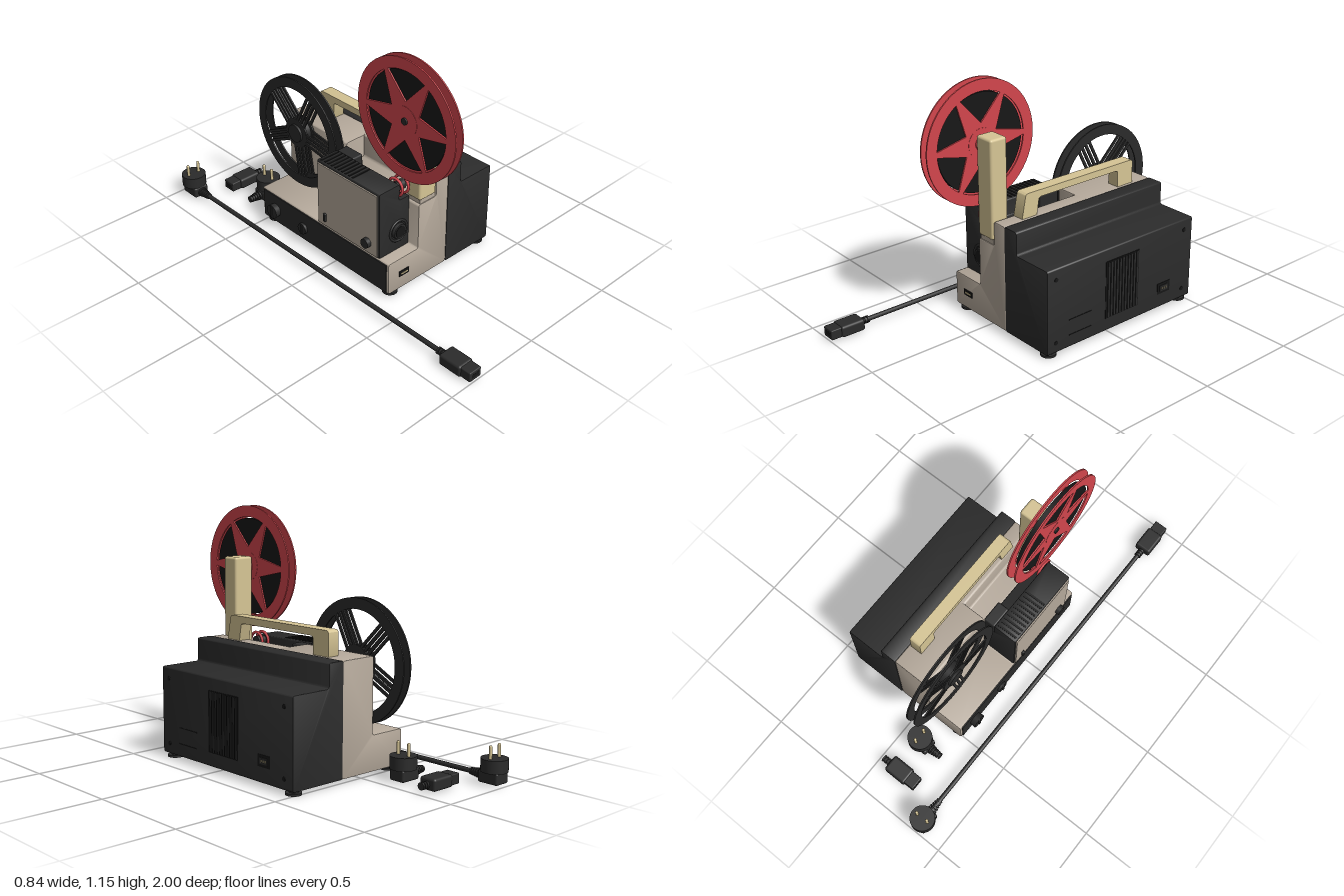
import * as THREE from 'three';
import { RoundedBoxGeometry } from 'three/addons/geometries/RoundedBoxGeometry.js';
import { toCreasedNormals } from 'three/addons/utils/BufferGeometryUtils.js';

export function createModel() {
  const root = new THREE.Group();
  const mat = (name, color) => Object.assign(new THREE.MeshStandardMaterial({ color }), { name });
  const black = mat('black plastic', 0x2b2b2b);
  const dark = mat('dark recess', 0x171717);
  const cream = mat('cream casing', 0xb5a99b);
  const beige = mat('beige trim', 0xd6c595);
  const red = mat('red reel', 0xd2464d);

  function add(name, geo, material, x = 0, y = 0, z = 0, parent = root) {
    const m = new THREE.Mesh(geo, material);
    m.name = name;
    m.position.set(x, y, z);
    parent.add(m);
    return m;
  }
  // Box given by its limits on each axis
  function box(name, material, [x0, x1], [y0, y1], [z0, z1], r = 0, parent = root) {
    const s = [x1 - x0, y1 - y0, z1 - z0];
    const geo = r ? new RoundedBoxGeometry(...s, 3, r) : new THREE.BoxGeometry(...s);
    return add(name, geo, material, (x0 + x1) / 2, (y0 + y1) / 2, (z0 + z1) / 2, parent);
  }
  // Cylinder along a chosen axis
  function cyl(name, material, axis, r0, r1, len, x, y, z, parent = root, sides = 32) {
    const geo = new THREE.CylinderGeometry(r1, r0, len, sides);
    if (axis === 'x') geo.rotateZ(-Math.PI / 2);
    if (axis === 'z') geo.rotateX(Math.PI / 2);
    return add(name, geo, material, x, y, z, parent);
  }
  // Polygon with rounded corners
  function rounded(pts, r) {
    const s = new THREE.Shape();
    const v = pts.map(p => new THREE.Vector2(...p));
    v.forEach((p, i) => {
      const toward = q => p.clone().add(q.clone().sub(p).setLength(r));
      const a = toward(v[(i + v.length - 1) % v.length]);
      const b = toward(v[(i + 1) % v.length]);
      if (i) s.lineTo(a.x, a.y); else s.moveTo(a.x, a.y);
      s.quadraticCurveTo(p.x, p.y, b.x, b.y);
    });
    s.closePath();
    return s;
  }
  // Front profile swept from z0 to z1
  function sweep(name, material, pts, z0, z1, r = 0.012, b = 0.005) {
    const geo = new THREE.ExtrudeGeometry(rounded(pts, r),
      { depth: z1 - z0 - 2 * b, bevelSize: b, bevelOffset: -b, bevelThickness: b, bevelSegments: 2, curveSegments: 5 });
    return add(name, toCreasedNormals(geo, 0.6), material, 0, 0, z0 + b);
  }
  // Profile in (z, y), with thickness along x and centred on it
  function plate(shape, depth) {
    const geo = new THREE.ExtrudeGeometry(shape, { depth, bevelEnabled: false, curveSegments: 48 });
    geo.translate(0, 0, -depth / 2).rotateY(-Math.PI / 2);
    return toCreasedNormals(geo, 0.6);
  }

  // Casing
  sweep('frontCasing', cream, [[-0.245, 0.02], [0.127, 0.02], [0.127, 0.535], [0.05, 0.535],
    [0.05, 0.42], [-0.06, 0.42], [-0.06, 0.185], [-0.245, 0.185]], -0.11, 0.372);
  sweep('rearCasing', cream, [[-0.245, 0.02], [0.127, 0.02], [0.127, 0.535],
    [-0.06, 0.535], [-0.06, 0.185], [-0.245, 0.185]], -0.512, -0.1);
  sweep('sideCasing', black, [[0.125, 0.02], [0.415, 0.02], [0.415, 0.427],
    [0.21, 0.427], [0.21, 0.537], [0.125, 0.537]], -0.514, 0.374);
  box('controlPanel', black, [-0.25, -0.243], [0.03, 0.178], [-0.5, 0.36]);

  // Feet
  for (const x of [-0.2, 0.375]) for (const z of [-0.475, 0.335]) {
    cyl('foot', black, 'y', 0.036, 0.036, 0.01, x, 0.005, z);
    cyl('footStem', black, 'y', 0.02, 0.02, 0.016, x, 0.016, z);
  }

  // Lamp housing
  sweep('lampHousing', black, [[-0.243, 0.183], [-0.058, 0.183], [-0.058, 0.445],
    [-0.12, 0.445], [-0.12, 0.527], [-0.243, 0.527]], -0.1, 0.31, 0.008);
  box('lampCover', cream, [-0.25, -0.242], [0.192, 0.515], [-0.092, 0.298]);
  box('filmGuide', black, [-0.121, -0.06], [0.44, 0.525], [-0.1, 0.01], 0.008);
  for (let i = 0; i < 10; i++) {
    const z = -0.085 + i * 0.023;
    box('lampVent', dark, [-0.235, -0.13], [0.525, 0.53], [z, z + 0.01]);
  }
  add('lensRing', new THREE.TorusGeometry(0.052, 0.006, 10, 40), black, -0.125, 0.285, 0.311);
  cyl('lensBarrel', black, 'z', 0.04, 0.037, 0.016, -0.125, 0.285, 0.316);
  cyl('lensGlass', dark, 'z', 0.029, 0.029, 0.004, -0.125, 0.285, 0.324);

  // Front socket
  box('frontSocket', dark, [-0.18, -0.12], [0.088, 0.116], [0.37, 0.376]);
  box('frontSocketBar', beige, [-0.17, -0.13], [0.099, 0.105], [0.374, 0.379]);

  // Controls on the panel side
  cyl('mainKnob', black, 'x', 0.036, 0.033, 0.034, -0.262, 0.1, -0.41);
  box('mainKnobGrip', black, [-0.283, -0.26], [0.068, 0.132], [-0.417, -0.403]);
  cyl('speedKnob', black, 'x', 0.028, 0.028, 0.016, -0.255, 0.095, -0.205);
  box('speedLever', black, [-0.268, -0.25], [0.07, 0.12], [-0.211, -0.199]);
  cyl('focusKnob', black, 'x', 0.024, 0.024, 0.024, -0.259, 0.247, 0.24);
  box('lampLatch', black, [-0.262, -0.248], [0.22, 0.262], [-0.05, -0.034], 0.004);

  // Ribbed vent, socket and screws on the plain side
  box('sideVentFrame', dark, [0.41, 0.417], [0.085, 0.367], [-0.167, 0.035]);
  for (let i = 0; i < 11; i++) {
    const z = -0.16 + i * 0.0175;
    box('sideVentRib', black, [0.412, 0.421], [0.09, 0.362], [z, z + 0.01]);
  }
  box('powerSocket', dark, [0.411, 0.417], [0.092, 0.146], [-0.375, -0.295]);
  box('powerSocketCore', black, [0.414, 0.42], [0.105, 0.133], [-0.36, -0.31]);
  for (const z of [-0.348, -0.335, -0.322]) box('socketPin', beige, [0.417, 0.422], [0.114, 0.124], [z - 0.002, z + 0.002]);
  for (const y of [0.07, 0.375]) for (const z of [-0.46, 0.325]) cyl('screw', dark, 'x', 0.01, 0.01, 0.006, 0.414, y, z);
  for (const y of [0.08, 0.155]) box('sideGroove', dark, [0.412, 0.4165], [y, y + 0.004], [0.12, 0.25]);

  // Carrying handle
  const grip = rounded([[-0.41, 0.525], [-0.41, 0.65], [0.24, 0.65], [0.265, 0.525],
    [0.18, 0.525], [0.165, 0.617], [-0.315, 0.617], [-0.315, 0.525]], 0.014);
  add('handle', plate(grip, 0.06), beige, 0.085, 0, 0);

  // Upright reel arm
  box('reelArm', beige, [-0.058, 0.045], [0.44, 0.91], [0.285, 0.375], 0.012);
  box('reelArmBase', cream, [-0.05, 0.045], [0.415, 0.445], [0.29, 0.368]);

  // Reels: two flanges, each a rim, hub and spokes
  const ring = (r, hole) => {
    const s = new THREE.Shape().absarc(0, 0, r, 0, Math.PI * 2, false);
    if (hole) s.holes.push(new THREE.Path().absarc(0, 0, hole, 0, Math.PI * 2, true));
    return s;
  };
  function reel(name, material, y, z, r, inner, hub, count, start, bars) {
    const g = new THREE.Group();
    g.name = name;
    g.position.set(-0.096, y, z);
    root.add(g);
    for (const side of [-1, 1]) {
      const x = side * 0.021;
      add('rim', plate(ring(r, inner), 0.007), material, x, 0, 0, g);
      add('rimLip', new THREE.TorusGeometry(r - 0.004, 0.004, 6, 64).rotateY(Math.PI / 2), material, x, 0, 0, g);
      add('hub', plate(ring(hub, 0.012), 0.009), material, x, 0, 0, g);
      for (let i = 0; i < count; i++) for (const [w0, w1, off] of bars) {
        const s = new THREE.Shape([[0.03, off - w0], [inner + 0.01, off - w1], [inner + 0.01, off + w1], [0.03, off + w0]]
          .map(p => new THREE.Vector2(...p)));
        const spoke = add('spoke', plate(s, 0.007), material, x, 0, 0, g);
        spoke.rotation.x = -(start + i * Math.PI * 2 / count);
      }
    }
    cyl('core', material, 'x', hub * 0.8, hub * 0.8, 0.04, 0, 0, 0, g);
    cyl('spindle', black, 'x', 0.016, 0.016, 0.075, 0.004, 0, 0, g);
    return g;
  }
  const feed = reel('feedReel', red, 0.858, 0.335, 0.29, 0.236, 0.07, 6, 0, [[0.058, 0.01, 0]]);
  cyl('film', dark, 'x', 0.23, 0.23, 0.032, 0, 0, 0, feed, 64);
  cyl('spindleCollar', red, 'x', 0.035, 0.028, 0.016, 0.03, 0, 0, feed);
  reel('takeUpReel', black, 0.492, -0.39, 0.282, 0.232, 0.075, 5, 63 * Math.PI / 180,
    [[0.007, 0.007, -0.024], [0.007, 0.007, 0], [0.007, 0.007, 0.024]]);
  cyl('takeUpHub', black, 'x', 0.045, 0.045, 0.03, -0.118, 0.492, -0.39);

  // Film loops at the gate
  for (const x of [-0.115, -0.078]) {
    add('filmLoop', new THREE.TorusGeometry(0.042, 0.007, 8, 32).rotateY(Math.PI / 2), red, x, 0.5, 0.28);
  }
  cyl('gateRoller', black, 'x', 0.024, 0.024, 0.045, -0.096, 0.5, 0.28);

  // Mains plug: round head with pins up, cord leaving along local +z
  function mainsPlug(x, z, turn) {
    const g = new THREE.Group();
    g.name = 'mainsPlug';
    g.position.set(x, 0, z);
    g.rotation.y = turn;
    root.add(g);
    cyl('plugHead', black, 'y', 0.06, 0.06, 0.058, 0, 0.086, 0, g);
    box('plugBody', black, [-0.04, 0.04], [0.005, 0.06], [-0.045, 0.06], 0.01, g);
    for (let i = 0; i < 5; i++) cyl('strainRib', black, 'z', 0.024 - i * 0.002, 0.024 - i * 0.002, 0.008, 0, 0.032, 0.068 + i * 0.013, g, 16);
    cyl('strainCore', black, 'z', 0.014, 0.012, 0.07, 0, 0.032, 0.09, g, 16);
    for (const s of [-1, 1]) {
      cyl('plugPin', beige, 'y', 0.0075, 0.0075, 0.055, s * 0.03, 0.14, 0, g, 12);
      add('pinTip', new THREE.SphereGeometry(0.0075, 12, 8), beige, s * 0.03, 0.167, 0, g);
    }
  }
  // Appliance connector: mouth at local +z, cord leaving along local -z
  function connector(x, z, turn) {
    const g = new THREE.Group();
    g.name = 'applianceConnector';
    g.position.set(x, 0, z);
    g.rotation.y = turn;
    root.add(g);
    box('connectorMouth', black, [-0.034, 0.034], [0.01, 0.058], [0.03, 0.1], 0.005, g);
    box('connectorBody', black, [-0.042, 0.042], [0.006, 0.062], [-0.07, 0.05], 0.012, g);
    box('connectorSlots', dark, [-0.022, 0.022], [0.024, 0.044], [0.098, 0.1005], 0, g);
    for (let i = 0; i < 3; i++) cyl('strainRib', black, 'z', 0.017, 0.017, 0.009, 0, 0.032, -0.077 - i * 0.014, g, 16);
    cyl('strainCore', black, 'z', 0.012, 0.012, 0.04, 0, 0.032, -0.085, g, 16);
  }
  mainsPlug(-0.36, -0.94, 0);
  connector(-0.36, 0.9, 0);
  cyl('powerCable', black, 'z', 0.011, 0.011, 1.66, -0.36, 0.032, -0.01, root, 16);
  mainsPlug(-0.105, -0.65, -Math.PI / 2);
  connector(-0.128, -0.825, -Math.PI / 2);

  return root;
}
